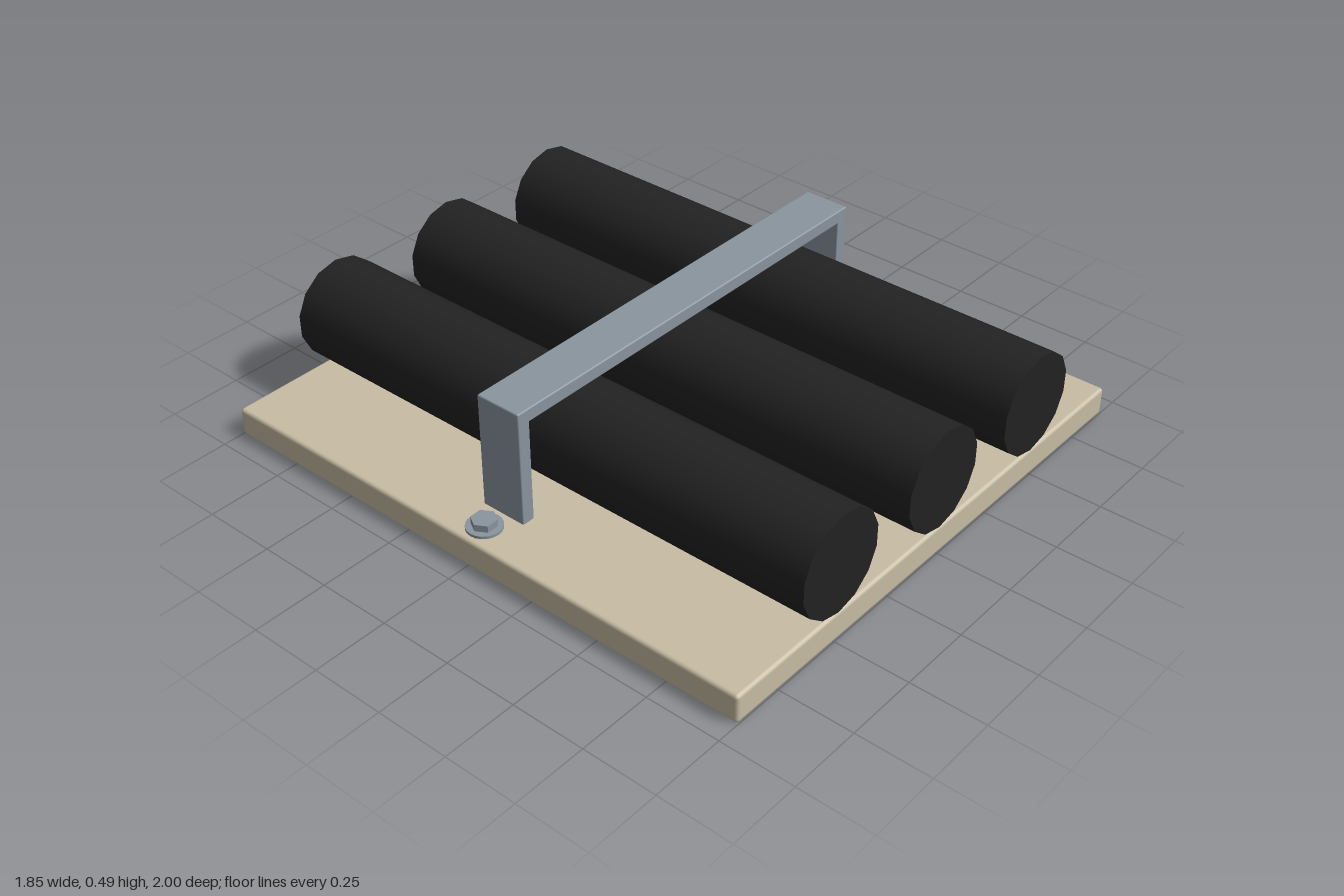
import * as THREE from 'three';
import { RoundedBoxGeometry } from 'three/addons/geometries/RoundedBoxGeometry.js';

export function createModel() {
  const model = new THREE.Group();
  const material = (name, color) => {
    const m = new THREE.MeshStandardMaterial({ color });
    m.name = name;
    return m;
  };
  const beige = material('beige board', 0xc8bda4);
  const black = material('black rubber', 0x222222);
  const steel = material('blue-grey steel', 0x8a959e);

  const add = (name, geometry, mat, x, y, z, parent = model) => {
    const mesh = new THREE.Mesh(geometry, mat);
    mesh.name = name;
    mesh.position.set(x, y, z);
    parent.add(mesh);
    return mesh;
  };

  // Base board with softened edges
  add('baseBoard', new RoundedBoxGeometry(1.85, 0.097, 2, 2, 0.012), beige, 0, 0.0485, 0);

  // Three cables lying front to back
  const cable = new THREE.CylinderGeometry(0.17, 0.17, 2, 14).rotateX(Math.PI / 2);
  [-0.487, 0, 0.487].forEach((x, i) => add('cable' + (i + 1), cable, black, x, 0.268, 0));

  // Clamp bracket: crossbar on two legs
  const bracket = new THREE.Group();
  bracket.name = 'bracket';
  model.add(bracket);
  add('bracketBar', new RoundedBoxGeometry(1.54, 0.046, 0.16, 2, 0.005), steel, 0, 0.462, 0, bracket);
  const leg = new RoundedBoxGeometry(0.045, 0.375, 0.16, 2, 0.004);

  // Hex bolt with its washer
  const washer = new THREE.CylinderGeometry(0.057, 0.057, 0.01, 20);
  const head = new THREE.CylinderGeometry(0.041, 0.041, 0.026, 6).rotateY(Math.PI / 2).toNonIndexed();
  head.computeVertexNormals();

  for (const [side, s] of [['left', 1], ['right', -1]]) {
    add(side + 'BracketLeg', leg, steel, s * 0.747, 0.277, 0, bracket);
    const bolt = new THREE.Group();
    bolt.name = side + 'Bolt';
    bolt.position.set(s * 0.848, 0.097, 0);
    model.add(bolt);
    add('washer', washer, steel, 0, 0.004, 0, bolt);
    add('hexHead', head, steel, 0, 0.019, 0, bolt);
  }
  return model;
}
